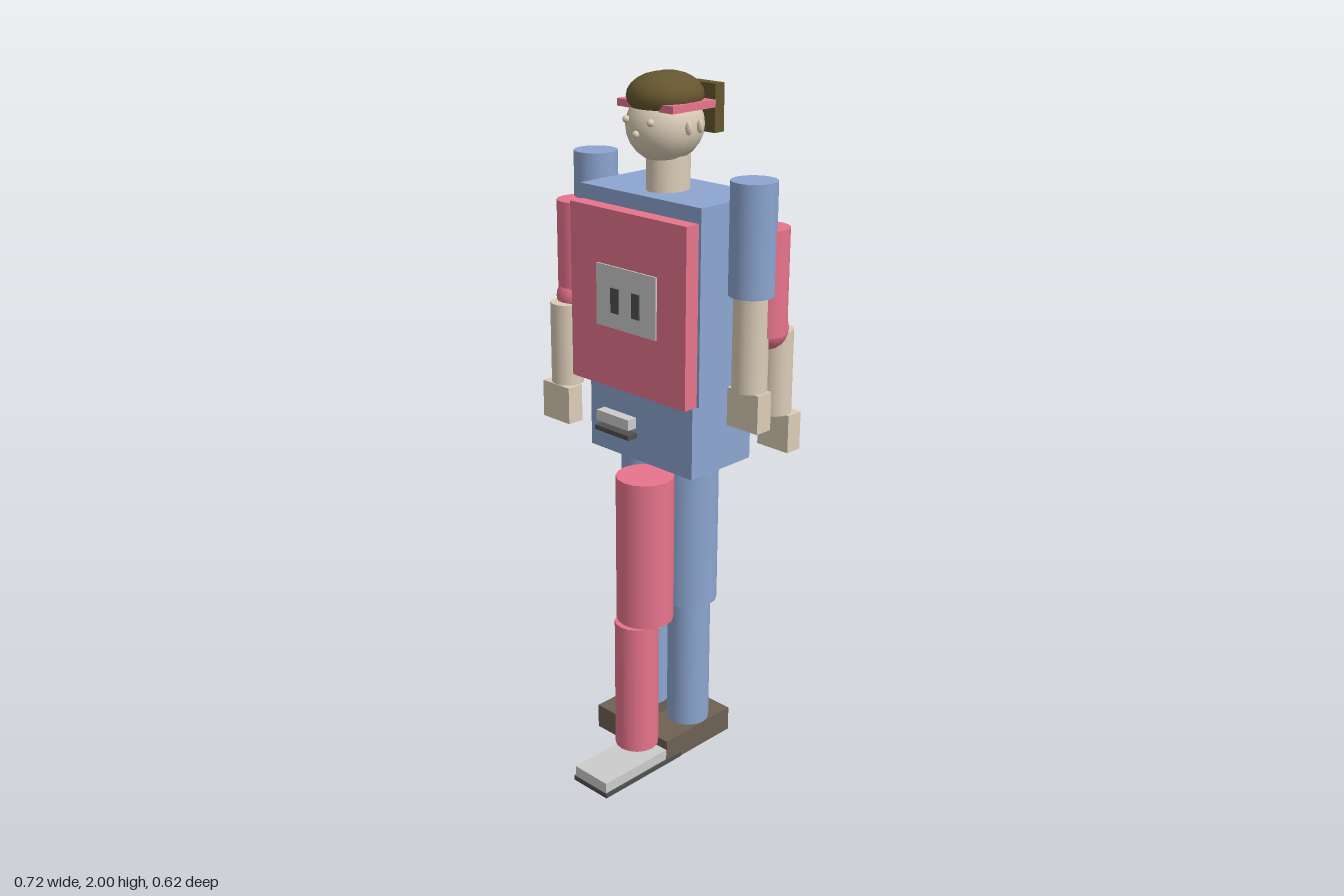
import * as THREE from 'three';

const mat = (color) => new THREE.MeshStandardMaterial({ color });
const BLUE = mat(0x8ca6d0), PINK = mat(0xe8748c), SKIN = mat(0xdccdb8), GREY = mat(0xcccccc),
  DARK = mat(0x505050), SHOE = mat(0x6e6154), HAIR = mat(0x65562f), BROWN = mat(0x6a4614);

export function createModel() {
  const root = new THREE.Group();
  root.name = 'figure';

  const add = (parent, name, geometry, material) => {
    const mesh = new THREE.Mesh(geometry, material);
    mesh.name = name;
    parent.add(mesh);
    return mesh;
  };
  const group = (name, parent = root) => {
    const g = new THREE.Group();
    g.name = name;
    parent.add(g);
    return g;
  };
  // Box from its limits on each axis
  const box = (parent, name, m, [x0, x1], [y0, y1], [z0, z1]) => {
    const mesh = add(parent, name, new THREE.BoxGeometry(x1 - x0, y1 - y0, z1 - z0), m);
    mesh.position.set((x0 + x1) / 2, (y0 + y1) / 2, (z0 + z1) / 2);
    return mesh;
  };
  // Upright cylinder between two heights
  const post = (parent, name, m, r, x, z, y0, y1) => {
    const mesh = add(parent, name, new THREE.CylinderGeometry(r, r, y1 - y0, 16), m);
    mesh.position.set(x, (y0 + y1) / 2, z);
    return mesh;
  };
  // Ellipsoid
  const ball = (parent, name, m, [x, y, z], rx, ry = rx, rz = rx) => {
    const mesh = add(parent, name, new THREE.SphereGeometry(1, 16, 12), m);
    mesh.scale.set(rx, ry, rz);
    mesh.position.set(x, y, z);
    return mesh;
  };

  // Torso, chest panel and hips
  const body = group('body');
  box(body, 'torso', BLUE, [-0.228, 0.228], [1.14, 1.685], [-0.23, 0.025]);
  box(body, 'hips', BLUE, [-0.2, 0.2], [0.92, 1.14], [-0.22, 0.02]);
  box(body, 'chestPanel', PINK, [-0.22, 0.22], [1.14, 1.643], [0.025, 0.071]);
  box(body, 'chestPlate', GREY, [-0.114, 0.114], [1.315, 1.49], [0.071, 0.076]);
  for (const s of [-1, 1])
    box(body, 'chestSlot', DARK, [s * 0.04 - 0.015, s * 0.04 + 0.015], [1.36, 1.43], [0.07, 0.08]);
  post(body, 'neck', SKIN, 0.055, 0, -0.088, 1.68, 1.78).scale.z = 1.2;

  // Foot plate with a dark sole; one lies under the foot, one passes through the hips
  const plate = (name, x, y, z, gap) => {
    const g = group(name);
    box(g, 'sole', DARK, [x - 0.068, x + 0.068], [y, y + 0.014], [z - 0.155, z + 0.155]);
    box(g, 'top', GREY, [x - 0.064, x + 0.064], [y + 0.014 + gap, y + 0.046 + gap], [z - 0.152, z + 0.152]);
  };
  plate('footPlate', 0.081, 0, 0.152, 0);
  plate('hipPlate', -0.081, 0.987, -0.1, 0.014);

  for (const s of [-1, 1]) {
    // Standing legs
    const leg = group(s > 0 ? 'leftLeg' : 'rightLeg');
    post(leg, 'thigh', BLUE, 0.082, s * 0.082, -0.1, 0.48, 0.92);
    post(leg, 'shin', BLUE, 0.063, s * 0.083, -0.1, 0.075, 0.48);
    box(leg, 'shoe', SHOE, [s * 0.083 - 0.064, s * 0.083 + 0.064], [0, 0.075], [-0.215, 0.057]);

    // Straight arm
    const x = s * 0.297;
    const arm = group(s > 0 ? 'leftArm' : 'rightArm');
    post(arm, 'upperArm', BLUE, 0.063, x, -0.1, 1.445, 1.75);
    post(arm, 'forearm', SKIN, 0.049, x, -0.1, 1.18, 1.445);
    box(arm, 'hand', SKIN, [x - 0.055, x + 0.055], [1.07, 1.18], [-0.127, -0.073]);

    // Swung arm: left goes back, right goes forward
    const swing = group(s > 0 ? 'leftSwungArm' : 'rightSwungArm');
    const z = (d) => -0.093 - s * d;
    post(swing, 'upperArm', PINK, 0.063, x, z(0.061), 1.33, 1.62);
    ball(swing, 'elbow', PINK, [x, 1.34, z(0.074)], 0.059);
    post(swing, 'forearm', SKIN, 0.047, x, z(0.115), 1.09, 1.33);
    box(swing, 'hand', SKIN, [x - 0.055, x + 0.055], [0.98, 1.09], [z(0.137) - 0.026, z(0.137) + 0.026]);
  }

  // Stepping legs
  const step = group('steppingLeg');
  post(step, 'thigh', PINK, 0.082, 0.082, 0.083, 0.48, 0.92);
  post(step, 'shin', PINK, 0.063, 0.083, 0.118, 0.045, 0.48);
  step.children[1].scale.y = 0.92;
  step.children[1].position.y = 0.28;
  ball(step, 'knee', SKIN, [0.083, 0.46, 0.073], 0.052, 0.026, 0.022);
  post(group('backLeg'), 'thigh', PINK, 0.082, -0.083, -0.227, 0.48, 0.92);

  // Head: paired skull and hair lobes, headband, face and ears
  const head = group('head');
  for (const z of [-0.063, -0.087]) {
    ball(head, 'skull', SKIN, [0, 1.86, z], 0.098);
    ball(head, 'hair', HAIR, [0, 1.938, z], 0.096, 0.062, 0.096);
  }
  box(head, 'headband', PINK, [-0.103, 0.103], [1.906, 1.926], [-0.16, 0.003]);
  for (const s of [-1, 1]) {
    ball(head, 'eye', SKIN, [s * 0.045, 1.88, 0.026], 0.01);
    for (const z of [-0.057, -0.101]) ball(head, 'ear', SKIN, [s * 0.103, 1.863, z], 0.01, 0.018, 0.008);
  }
  ball(head, 'nose', SKIN, [0, 1.846, 0.035], 0.01);

  // Box behind the head with a crank knob
  const pack = group('headPack', head);
  box(pack, 'plate', HAIR, [-0.09, 0.09], [1.835, 1.965], [-0.208, -0.172]);
  box(pack, 'knob', BROWN, [-0.014, 0.014], [1.835, 1.885], [-0.23, -0.2]);
  const handle = post(pack, 'handle', BROWN, 0.01, 0, -0.248, 1.825, 1.869);
  handle.rotation.x = Math.PI / 2;

  return root;
}
